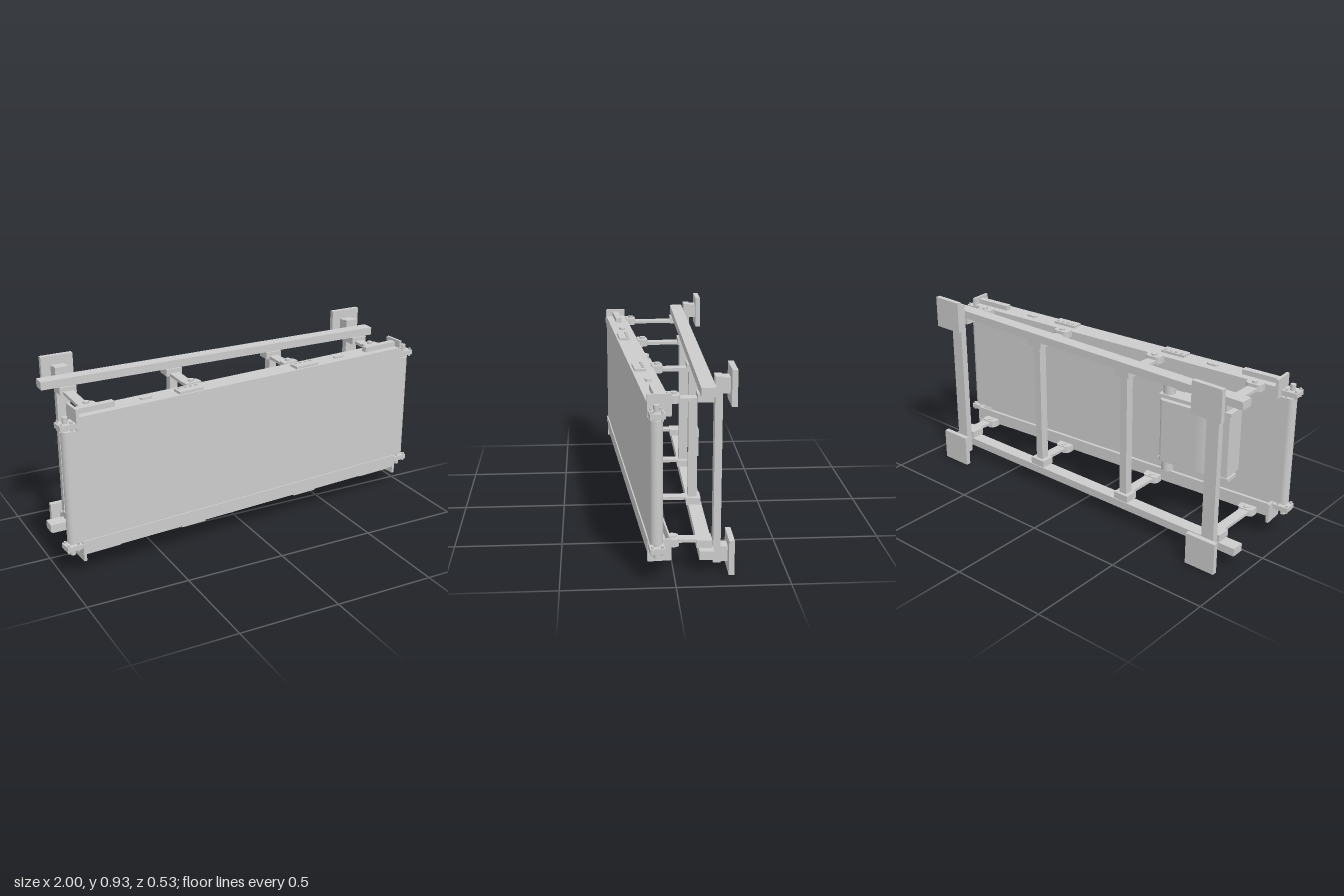
import * as THREE from 'three';

const MID = 0.465; // height of the mirror plane
const mat = new THREE.MeshStandardMaterial({ color: 0xcccccc });

function add(parent, name, geo, x, y, z) {
  const m = new THREE.Mesh(geo, mat);
  m.name = name;
  m.position.set(x, y, z);
  parent.add(m);
  return m;
}

// box from its bounds
function box(parent, name, x0, x1, y0, y1, z0, z1) {
  return add(parent, name, new THREE.BoxGeometry(x1 - x0, y1 - y0, z1 - z0),
    (x0 + x1) / 2, (y0 + y1) / 2, (z0 + z1) / 2);
}

// box repeated above and below the middle plane
function boxPair(parent, name, x0, x1, y0, y1, z0, z1) {
  box(parent, name, x0, x1, y0, y1, z0, z1);
  box(parent, name, x0, x1, 2 * MID - y1, 2 * MID - y0, z0, z1);
}

// upright cylinder between two heights
function rod(parent, name, r, x, y0, y1, z, sides = 24) {
  add(parent, name, new THREE.CylinderGeometry(r, r, y1 - y0, sides), x, (y0 + y1) / 2, z);
}

function rodPair(parent, name, r, x, y0, y1, z, sides) {
  rod(parent, name, r, x, y0, y1, z, sides);
  rod(parent, name, r, x, 2 * MID - y1, 2 * MID - y0, z, sides);
}

// outline drawn in (x, z), extruded upwards from y0 to y1
function slab(parent, name, shape, y0, y1) {
  const g = new THREE.ExtrudeGeometry(shape, { depth: y1 - y0, bevelEnabled: false, curveSegments: 16 });
  g.rotateX(-Math.PI / 2);
  return add(parent, name, g, 0, y0, 0);
}

function slabPair(parent, name, shape, y0, y1) {
  slab(parent, name, shape, y0, y1);
  slab(parent, name, shape, 2 * MID - y1, 2 * MID - y0);
}

// loop with round ends
function stadium(x0, x1, z, r) {
  const s = new THREE.Shape();
  s.absarc(x1 - r, -z, r, -Math.PI / 2, Math.PI / 2, false);
  s.absarc(x0 + r, -z, r, Math.PI / 2, Math.PI * 1.5, false);
  s.closePath();
  return s;
}

function buildStand(g) {
  boxPair(g, 'standRail', -0.95, 0.89, 0.815, 0.855, -0.175, -0.11);
  // cross beams and feet
  for (const x of [-0.822, 0.808]) {
    box(g, 'crossBeam', x - 0.033, x + 0.033, 0.04, 0.89, -0.208, -0.175);
    boxPair(g, 'footNeck', x - 0.033, x + 0.033, 0.815, 0.885, -0.242, -0.208);
    boxPair(g, 'footPlate', x - 0.08, x + 0.08, 0.77, 0.93, -0.265, -0.24);
  }
  for (const x of [-0.275, 0.285]) {
    box(g, 'tieBar', x - 0.02, x + 0.02, 0.15, 0.78, -0.153, -0.11);
  }
  // legs that carry the conveyor
  for (const [x, z] of [[-0.822, 0.125], [-0.275, 0.085], [0.285, 0.04], [0.808, -0.002]]) {
    boxPair(g, 'legFlange', x - 0.042, x + 0.042, 0.795, 0.815, -0.17, -0.1);
    boxPair(g, 'legPlate', x - 0.042, x + 0.042, 0.78, 0.795, -0.17, -0.1);
    boxPair(g, 'leg', x - 0.025, x + 0.025, 0.78, 0.795, -0.1, z);
  }
}

function buildConveyor(g) {
  // belt loop and end rollers
  slab(g, 'belt', stadium(-0.985, 0.985, 0.018, 0.028), 0.19, 0.74);
  // side channels, open inwards
  boxPair(g, 'channelWeb', -0.915, 0.915, 0.79, 0.803, -0.052, 0.052);
  boxPair(g, 'channelFrontFlange', -0.915, 0.915, 0.738, 0.79, 0.044, 0.052);
  boxPair(g, 'channelBackFlange', -0.915, 0.915, 0.738, 0.79, -0.052, -0.044);

  for (const s of [-1, 1]) {
    const span = (a, b) => (s > 0 ? [a, b] : [-b, -a]);
    // end plates with the tensioner bars
    boxPair(g, 'endPlate', ...span(0.908, 0.922), 0.742, 0.84, -0.052, 0.052);
    boxPair(g, 'tensionerBar', ...span(0.715, 0.908), 0.803, 0.828, -0.016, 0.016);
    // bearings
    boxPair(g, 'bearingBlock', ...span(0.922, 1.0), 0.752, 0.776, -0.016, 0.05);
    rodPair(g, 'rollerShaft', 0.013, s * 0.962, 0.735, 0.806, 0.018);
    for (const dx of [-0.024, 0.024]) for (const dz of [-0.022, 0.022]) {
      rodPair(g, 'bearingBolt', 0.006, s * 0.966 + dx, 0.742, 0.786, 0.018 + dz, 6);
    }
    // joint plates with a row of bolts
    const jx = s * 0.33;
    boxPair(g, 'jointPlate', jx - 0.065, jx + 0.065, 0.803, 0.815, -0.012, 0.042);
    for (let i = 0; i < 4; i++) {
      rodPair(g, 'jointBolt', 0.007, jx - 0.045 + i * 0.03, 0.815, 0.822, 0, 6);
    }
    // oval slot covers
    const ox = s * 0.55;
    slabPair(g, 'slotCover', stadium(ox - 0.03, ox + 0.03, 0, 0.014), 0.803, 0.812);
  }

  // rounded feet joined to the legs
  for (const x of [-0.815, -0.268, 0.293, 0.814]) {
    const s = new THREE.Shape();
    s.moveTo(x - 0.042, 0.05);
    s.lineTo(x + 0.042, 0.05);
    s.lineTo(x + 0.042, 0.072);
    s.quadraticCurveTo(x + 0.04, 0.098, x + 0.02, 0.1);
    s.lineTo(x - 0.02, 0.1);
    s.quadraticCurveTo(x - 0.04, 0.098, x - 0.042, 0.072);
    s.closePath();
    slabPair(g, 'legFoot', s, 0.775, 0.81);
    rodPair(g, 'footPin', 0.014, x, 0.77, 0.82, -0.076, 16);
  }

  // drive unit behind the belt
  boxPair(g, 'driveSidePlate', -0.735, -0.335, 0.628, 0.646, -0.132, -0.052);
  box(g, 'driveHousing', -0.725, -0.41, 0.302, 0.628, -0.126, -0.012);
  const cover = new THREE.Shape();
  cover.moveTo(-0.66, 0.12);
  cover.quadraticCurveTo(-0.63, 0.152, -0.57, 0.157);
  cover.lineTo(-0.37, 0.157);
  cover.quadraticCurveTo(-0.352, 0.155, -0.35, 0.12);
  cover.closePath();
  slab(g, 'driveCover', cover, 0.302, 0.628);
  rod(g, 'driveRoller', 0.031, -0.372, 0.23, 0.7, -0.094);
}

export function createModel() {
  const model = new THREE.Group();
  model.name = 'conveyor';

  const stand = new THREE.Group();
  stand.name = 'stand';
  buildStand(stand);

  // the belt section is tilted against the stand
  const conveyor = new THREE.Group();
  conveyor.name = 'beltSection';
  buildConveyor(conveyor);
  conveyor.position.z = 0.137;
  conveyor.rotation.y = 0.076;

  model.add(stand, conveyor);
  return model;
}
